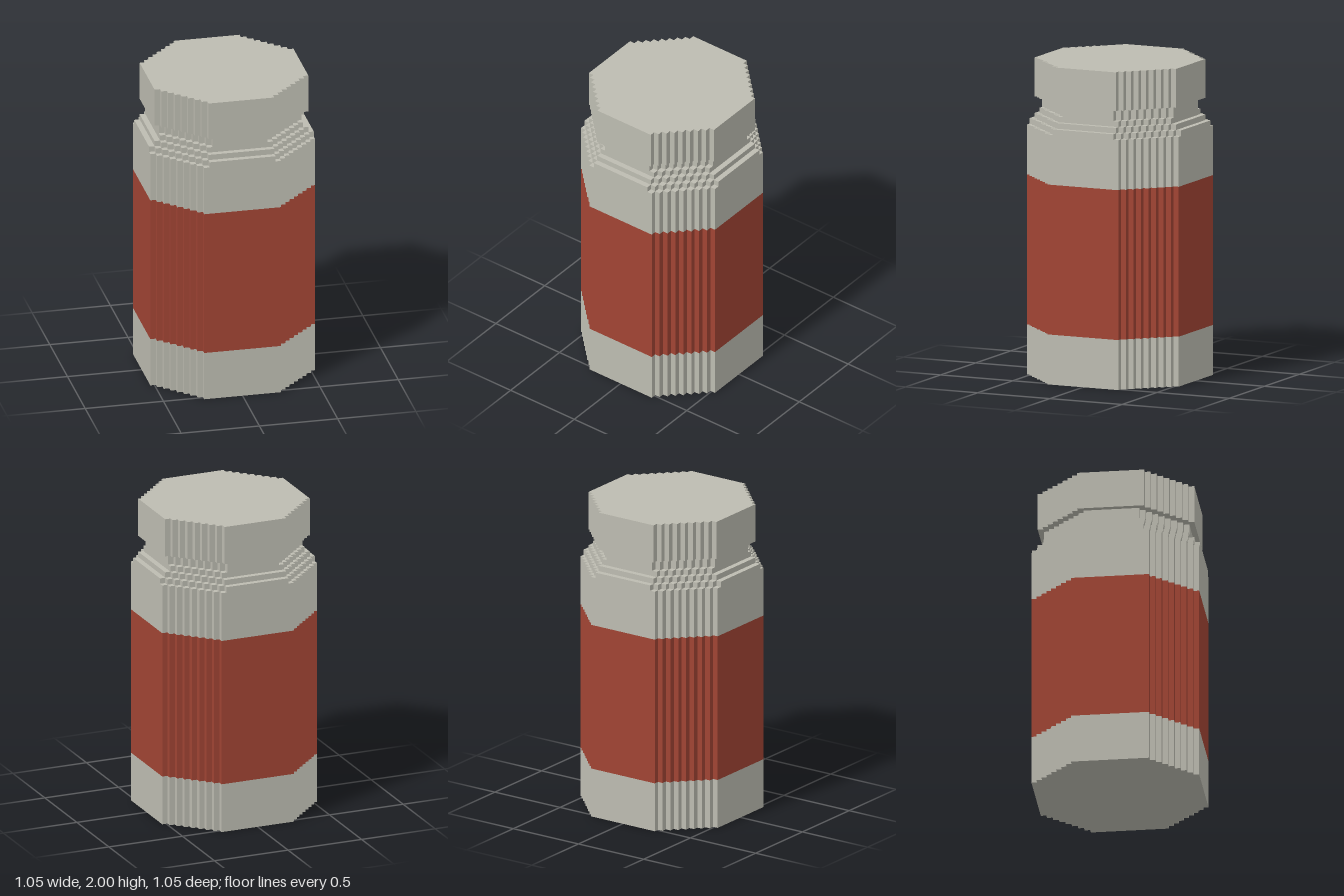
import * as THREE from 'three';

const U = 2 / 57; // one step of the blocky grid

// Stepped octagon: flat sides at +-half, corner steps follow x + y = sum
function outline(half, sum) {
  const flat = sum - half, quarter = [];
  for (let k = half; k >= flat; k--) {
    quarter.push([k, sum - k]);
    if (k > flat) quarter.push([k - 1, sum - k]);
  }
  const points = [];
  for (let turn = 0; turn < 4; turn++) {
    for (const [x, y] of quarter) {
      const [a, b] = [[x, y], [-y, x], [-x, -y], [y, -x]][turn];
      points.push(new THREE.Vector2(a * U, b * U));
    }
  }
  return points;
}

// Vertical walls around an outline, from step y0 to step y1
function walls(points, y0, y1) {
  const pos = [];
  points.forEach((p, i) => {
    const q = points[(i + 1) % points.length];
    const corner = (v, y) => [v.x, y * U, -v.y];
    const a = corner(p, y0), b = corner(q, y0), c = corner(q, y1), d = corner(p, y1);
    pos.push(...a, ...b, ...c, ...a, ...c, ...d);
  });
  const g = new THREE.BufferGeometry();
  g.setAttribute('position', new THREE.Float32BufferAttribute(pos, 3));
  g.computeVertexNormals();
  return g;
}

// Flat face closing an outline at step y, facing up or down
function face(points, y, up) {
  const g = new THREE.ShapeGeometry(new THREE.Shape(points));
  return g.rotateX(up ? -Math.PI / 2 : Math.PI / 2).translate(0, y * U, 0);
}

export function createModel() {
  const plastic = new THREE.MeshStandardMaterial({ color: 0xbdbcb1 });
  plastic.name = 'pale grey plastic';
  const red = new THREE.MeshStandardMaterial({ color: 0xa14434 });
  red.name = 'red label';

  const model = new THREE.Group();
  model.name = 'bottle';

  function layer(name, half, sum, y0, y1, material, top, bottom) {
    const group = new THREE.Group();
    group.name = name;
    const points = outline(half, sum);
    const add = (part, g) => {
      const mesh = new THREE.Mesh(g, material);
      mesh.name = name + part;
      group.add(mesh);
    };
    add('Walls', walls(points, y0, y1));
    if (top) add('Top', face(points, y1, true));
    if (bottom) add('Bottom', face(points, y0, false));
    model.add(group);
  }

  // Body with the label band
  layer('base', 15, 22, 0, 9, plastic, false, true);
  layer('label', 15, 22, 9, 36, red, false, false);
  layer('upperBody', 15, 22, 36, 45, plastic, true, false);

  // Stepped shoulder
  layer('lowerShoulder', 15, 21, 45, 46, plastic, true, false);
  layer('middleShoulder', 14, 20, 46, 47, plastic, true, false);
  layer('upperShoulder', 13, 19, 47, 48, plastic, true, false);

  // Neck and lid
  layer('neck', 13, 18, 48, 50, plastic, false, false);
  layer('lid', 14, 20, 50, 57, plastic, true, true);

  return model;
}
